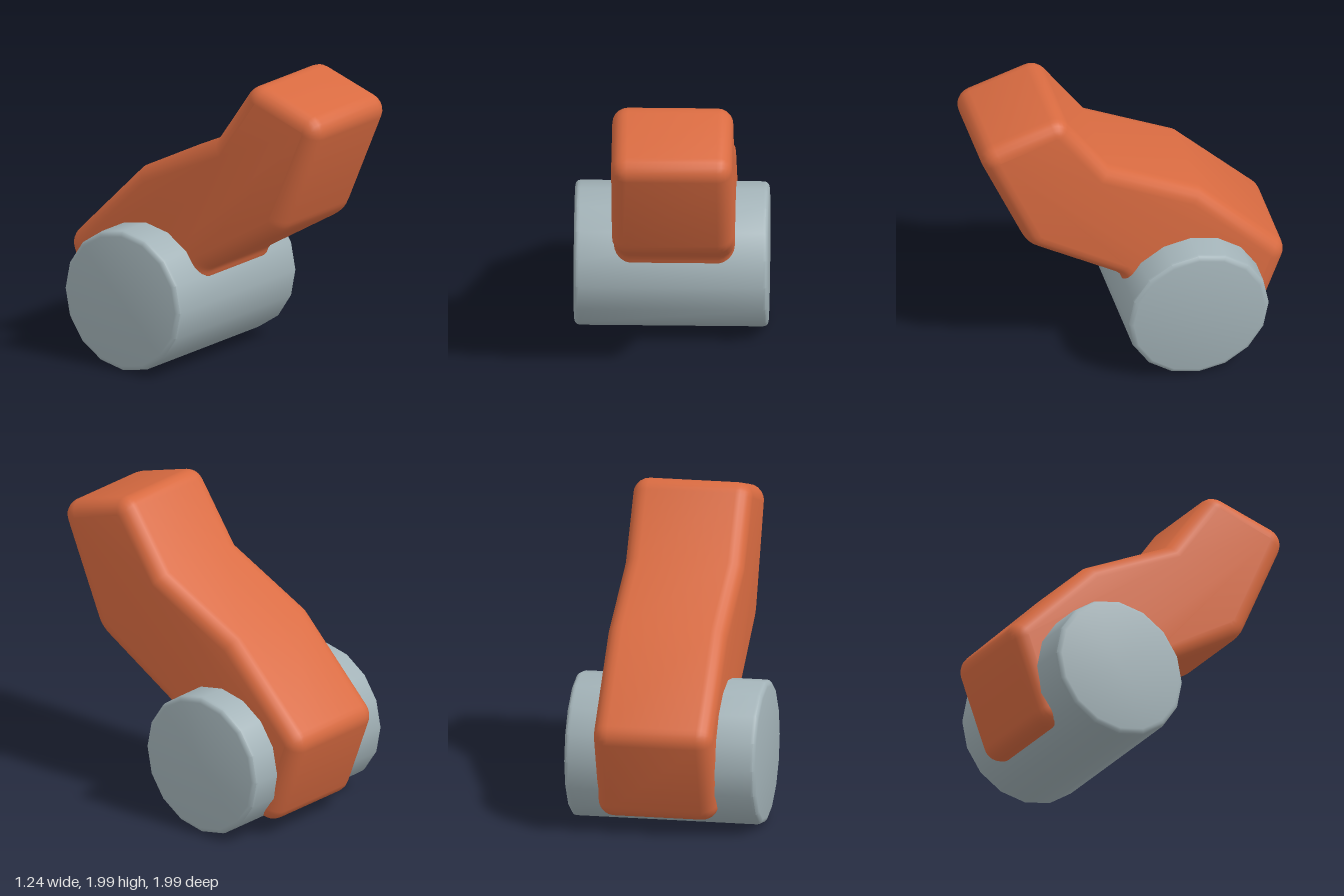
import * as THREE from 'three';
import { toCreasedNormals } from 'three/addons/utils/BufferGeometryUtils.js';

const orange = new THREE.MeshStandardMaterial({ color: 0xd96b41 });
orange.name = 'orange';
const grey = new THREE.MeshStandardMaterial({ color: 0xa3b3b8 });
grey.name = 'blue grey';

// Polygon whose corners [x, y, radius] are rounded with true arcs
function roundedPolygon(corners, steps = 5) {
  const points = [];
  corners.forEach(([x, y, r], i) => {
    const p = new THREE.Vector2(x, y);
    if (!r) return points.push(p);
    const n = corners.length;
    const toward = (c) => new THREE.Vector2(c[0], c[1]).sub(p).normalize();
    const d1 = toward(corners[(i + n - 1) % n]);
    const d2 = toward(corners[(i + 1) % n]);
    const half = Math.acos(d1.dot(d2)) / 2;
    const centre = d1.clone().add(d2).normalize().multiplyScalar(r / Math.sin(half)).add(p);
    const cut = r / Math.tan(half);
    const a = d1.multiplyScalar(cut).add(p).sub(centre);
    const b = d2.multiplyScalar(cut).add(p).sub(centre);
    const turn = Math.atan2(a.cross(b), a.dot(b));
    for (let k = 0; k <= steps; k++) {
      points.push(a.clone().rotateAround(new THREE.Vector2(), turn * k / steps).add(centre));
    }
  });
  return new THREE.Shape(points);
}

// Bent arm: side outline in (z, y), extruded across x with rounded edges
function makeArm() {
  const bevel = 0.1, width = 0.775;
  const outline = roundedPolygon([
    [1.03, 1.83, 0.11], [0.462, 2.01, 0.11], [0.15, 1.565, 0], [-0.45, 1.28, 0],
    [-1.025, 0.71, 0.12], [-0.79, 0.08, 0.11], [-0.35, 0.2, 0],
    [0.03, 0.55, 0], [0.08, 0.69, 0.11], [0.69, 1.05, 0.22],
  ]);
  const geometry = new THREE.ExtrudeGeometry(outline, {
    depth: width - 2 * bevel, bevelThickness: bevel, bevelSize: bevel,
    bevelOffset: -bevel, bevelSegments: 5,
  });
  geometry.translate(0, 0, bevel - width / 2);
  geometry.rotateY(-Math.PI / 2);
  geometry.translate(0.0225, 0, 0);
  const arm = new THREE.Mesh(toCreasedNormals(geometry, 0.6), orange);
  arm.name = 'bentArm';
  return arm;
}

// Sixteen-sided roller lying along x, with softened rims
function makeRoller() {
  const h = 0.622, r = 0.467, e = 0.035;
  const profile = [new THREE.Vector2(0, -h)];
  for (const side of [-1, 1]) {
    for (let k = 0; k <= 3; k++) {
      const a = (side < 0 ? k : 3 - k) * Math.PI / 6;
      profile.push(new THREE.Vector2(r - e + e * Math.sin(a), side * (h - e + e * Math.cos(a))));
    }
  }
  profile.push(new THREE.Vector2(0, h));
  const geometry = new THREE.LatheGeometry(profile, 16);
  geometry.rotateZ(Math.PI / 2);
  const roller = new THREE.Mesh(toCreasedNormals(geometry, 0.6), grey);
  roller.name = 'roller';
  roller.position.set(0, r, -0.375);
  return roller;
}

export function createModel() {
  const model = new THREE.Group();
  model.name = 'armOnRoller';
  model.add(makeArm(), makeRoller());
  return model;
}
